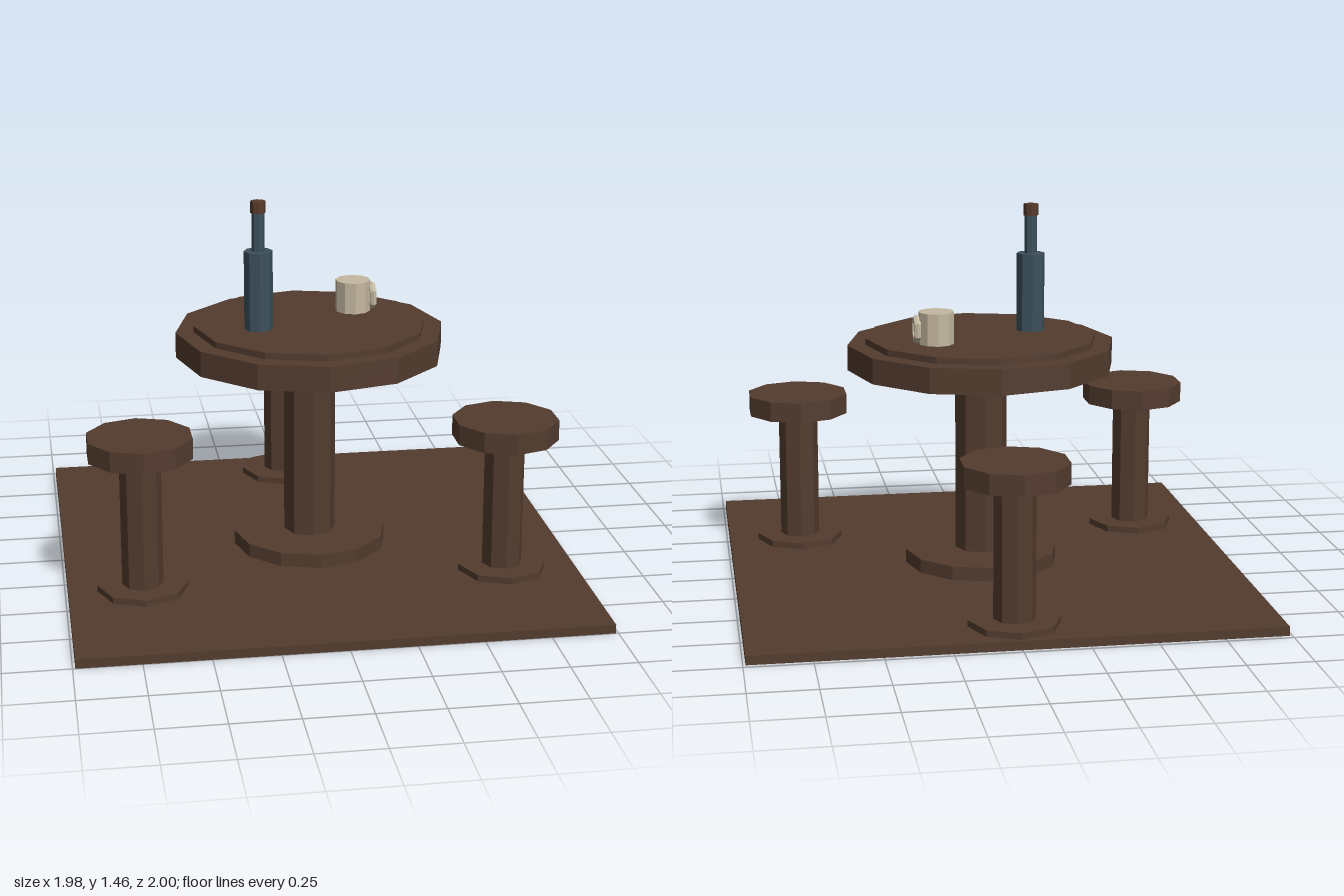
import * as THREE from 'three';

const material = (name, color) => {
  const m = new THREE.MeshStandardMaterial({ color, flatShading: true });
  m.name = name;
  return m;
};

export function createModel() {
  const model = new THREE.Group();
  model.name = 'tableWithStools';
  const wood = material('dark wood', 0x533c2f);
  const glass = material('blue glass', 0x3c505c);
  const cork = material('cork brown', 0x573a2a);
  const clay = material('pale clay', 0xc4b8a0);

  const group = (name, x, z) => {
    const g = new THREE.Group();
    g.name = name;
    g.position.set(x, 0, z);
    model.add(g);
    return g;
  };
  // Upright prism between two heights
  const prism = (parent, name, mat, r, y0, y1, sides) => {
    const mesh = new THREE.Mesh(new THREE.CylinderGeometry(r, r, y1 - y0, sides), mat);
    mesh.name = name;
    mesh.position.y = (y0 + y1) / 2;
    parent.add(mesh);
  };

  // Floor slab
  const floor = new THREE.Mesh(new THREE.BoxGeometry(1.98, 0.035, 1.98), wood);
  floor.name = 'floor';
  floor.position.set(0, 0.0175, 0.01);
  model.add(floor);

  // Round table
  const table = group('table', 0, 0.008);
  prism(table, 'tableBase', wood, 0.305, 0.035, 0.09, 12);
  prism(table, 'tableColumn', wood, 0.103, 0.09, 0.83, 8);
  prism(table, 'tableTop', wood, 0.528, 0.83, 0.93, 12);
  prism(table, 'tableInset', wood, 0.457, 0.93, 0.955, 12);

  // Three stools around it
  for (const [name, x, z] of [['leftStool', 0.7, 0.41], ['rightStool', -0.705, 0.41], ['backStool', 0, -0.795]]) {
    const stool = group(name, x, z);
    prism(stool, 'stoolBase', wood, 0.174, 0.035, 0.06, 8);
    prism(stool, 'stoolColumn', wood, 0.079, 0.06, 0.575, 8);
    prism(stool, 'stoolSeat', wood, 0.205, 0.575, 0.655, 10);
  }

  // Bottle
  const bottle = group('bottle', -0.21, 0.08);
  prism(bottle, 'bottleBody', glass, 0.056, 0.955, 1.265, 8);
  prism(bottle, 'bottleNeck', glass, 0.025, 1.265, 1.415, 8);
  prism(bottle, 'bottleStopper', cork, 0.03, 1.415, 1.46, 8);

  // Mug with a ring handle on its side
  const mug = group('mug', 0.195, -0.127);
  prism(mug, 'mugBody', clay, 0.07, 0.955, 1.08, 10);
  const ring = new THREE.TorusGeometry(0.043, 0.014, 6, 6);
  ring.rotateZ(Math.PI / 6);
  ring.rotateY(Math.PI / 2);
  const handle = new THREE.Mesh(ring, clay);
  handle.name = 'mugHandle';
  handle.position.set(0.076, 1.013, 0.004);
  mug.add(handle);

  return model;
}
